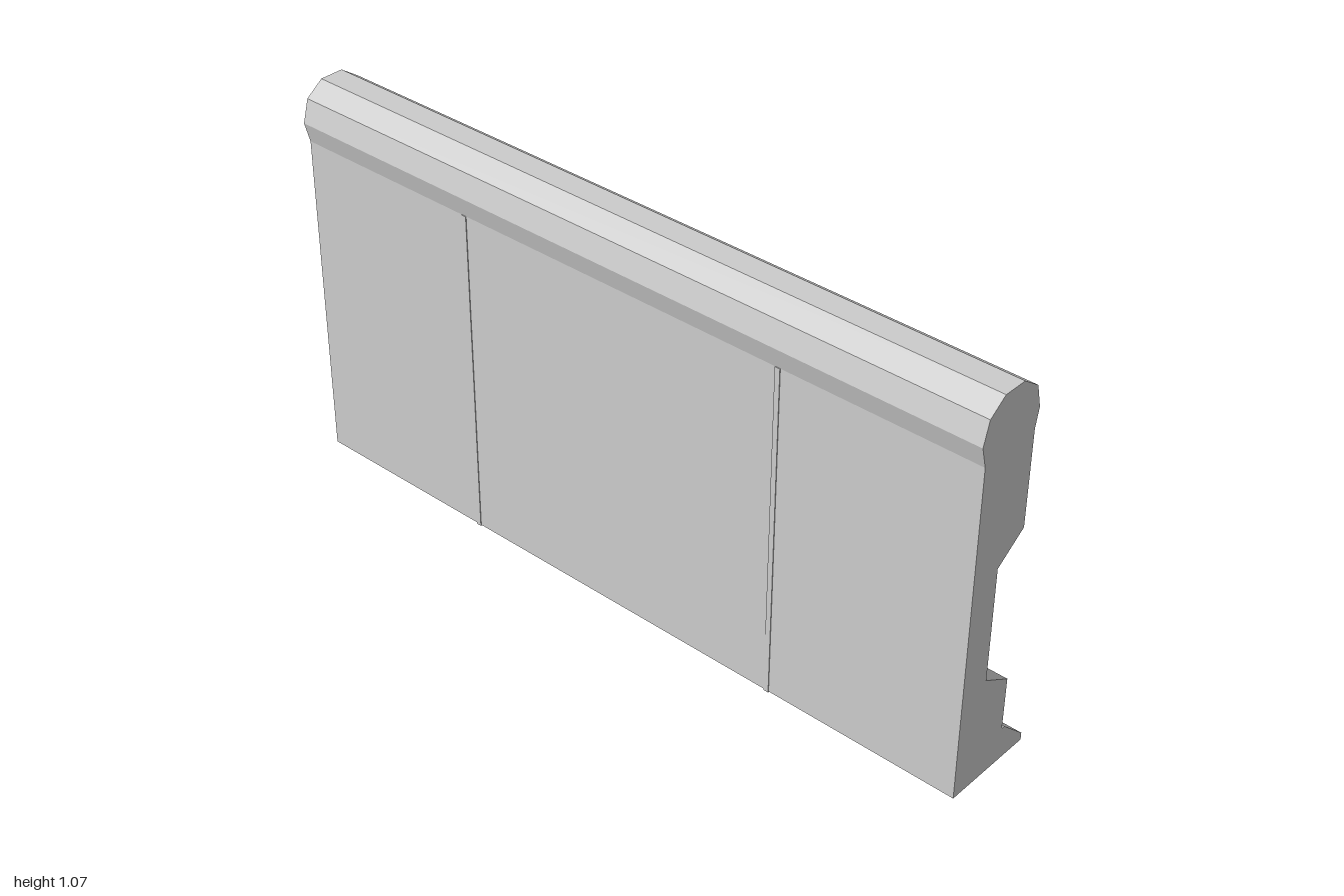
import * as THREE from 'three';

const grey = new THREE.MeshStandardMaterial({ color: 0xcccccc });
const greyFlat = new THREE.MeshStandardMaterial({ color: 0xcccccc, flatShading: true });

function toShape(points) {
  return new THREE.Shape(points.map(([x, y]) => new THREE.Vector2(x, y)));
}

function addMesh(parent, name, geometry, material = grey) {
  const mesh = new THREE.Mesh(geometry, material);
  mesh.name = name;
  parent.add(mesh);
  return mesh;
}

// Wall cross-section (x, y), extruded along z, softened at the recess bends
function wallGeometry() {
  const profile = [
    [-0.12, 0.02], [0.135, 0.02], [0.135, 0.04], [0.06, 0.11], [0.05, 0.11],
    [0.05, 0.255], [-0.035, 0.305], [-0.035, 0.61], [0.05, 0.67], [0.05, 0.92],
    [0.06, 0.97], [0.045, 1.03], [-0.005, 1.065], [-0.07, 1.065],
    [-0.118, 1.03], [-0.135, 0.97], [-0.12, 0.915],
  ];
  const geo = new THREE.ExtrudeGeometry(toShape(profile), { depth: 2, bevelEnabled: false });
  geo.translate(0, 0, -1);
  const soft = [[0.04, 0.39], [0.255, 0.47], [0.305, 0.47], [0.61, -0.47], [0.67, -0.47]];
  const pos = geo.attributes.position;
  const nor = geo.attributes.normal;
  for (let i = 0; i < pos.count; i++) {
    if (Math.abs(nor.getZ(i)) > 0.5) continue;
    const bend = soft.find(([y]) => Math.abs(y - pos.getY(i)) < 0.001);
    if (bend) nor.setXYZ(i, Math.sqrt(1 - bend[1] ** 2), bend[1], 0);
  }
  return geo;
}

// Octagonal pipe swept through mitred rings; path entries are front x, y, mitre slope
function pipeGeometry() {
  const path = [
    [0.085, 0, 0], [0.085, 0.27, 0.54], [0, 0.32, 0.54],
    [0, 0.637, -0.54], [0.055, 0.67, -0.54], [0.055, 0.95, 0],
  ];
  const r = 0.025;
  const sides = 8;
  const R = r / Math.cos(Math.PI / sides);
  const rings = path.map(([px, py, slope]) => Array.from({ length: sides }, (_, j) => {
    const a = ((j + 0.5) / sides) * Math.PI * 2;
    const off = R * Math.cos(a) - r;
    return [px + off, py + slope * off, R * Math.sin(a)];
  }));
  const verts = [];
  const tri = (...corners) => corners.forEach((c) => verts.push(...c));
  const last = rings[rings.length - 1];
  for (let j = 0; j < sides; j++) {
    const k = (j + 1) % sides;
    for (let i = 0; i < rings.length - 1; i++) {
      tri(rings[i][j], rings[i + 1][j], rings[i][k]);
      tri(rings[i][k], rings[i + 1][j], rings[i + 1][k]);
    }
    // end caps
    if (j > 0 && k > 0) {
      tri(rings[0][0], rings[0][j], rings[0][k]);
      tri(last[0], last[k], last[j]);
    }
  }
  const geo = new THREE.BufferGeometry();
  geo.setAttribute('position', new THREE.Float32BufferAttribute(verts, 3));
  geo.computeVertexNormals();
  return geo;
}

// Vertical rib with chamfered front edges; its ends sink into the recess slopes
function ribGeometry() {
  const shape = toShape([
    [-0.05, -0.04], [-0.012, -0.04], [0, -0.022],
    [0, 0.022], [-0.012, 0.04], [-0.05, 0.04],
  ]);
  const geo = new THREE.ExtrudeGeometry(shape, { depth: 0.38, bevelEnabled: false });
  geo.rotateX(-Math.PI / 2);
  geo.translate(0, 0.27, 0);
  return geo;
}

// Rectangular frame with cut corners and a rectangular opening
function frameGeometry() {
  const w = 0.186, h = 0.065, c = 0.028;
  const shape = toShape([
    [-w + c, -h], [w - c, -h], [w, -h + c], [w, h - c],
    [w - c, h], [-w + c, h], [-w, h - c], [-w, -h + c],
  ]);
  const iw = 0.153, ih = 0.046;
  shape.holes.push(toShape([[-iw, -ih], [-iw, ih], [iw, ih], [iw, -ih]]));
  const geo = new THREE.ExtrudeGeometry(shape, { depth: 0.022, bevelEnabled: false });
  geo.rotateY(Math.PI / 2);
  geo.translate(0.041, 0.84, 0);
  return geo;
}

export function createModel() {
  const model = new THREE.Group();
  model.name = 'wallSection';

  addMesh(model, 'wallBody', wallGeometry());

  // Block in the middle of the recess
  const block = addMesh(model, 'recessBlock', new THREE.BoxGeometry(0.107, 0.42, 0.318));
  block.position.set(-0.0165, 0.47, 0.03);

  // Pipes and the thin seams that continue them under and behind the wall
  const pipe = pipeGeometry();
  for (const z of [0.469, -0.469]) {
    addMesh(model, 'pipe', pipe, greyFlat).position.z = z;
    const back = addMesh(model, 'backSeam', new THREE.BoxGeometry(0.006, 0.897, 0.014));
    back.position.set(-0.119, 0.4665, z);
    const under = addMesh(model, 'bottomSeam', new THREE.BoxGeometry(0.18, 0.006, 0.014));
    under.position.set(-0.03, 0.021, z);
  }

  const rib = ribGeometry();
  for (const z of [0.905, 0.577, -0.564, -0.892]) {
    addMesh(model, 'recessRib', rib).position.z = z;
  }

  const frame = frameGeometry();
  for (const z of [0.741, -0.73]) {
    addMesh(model, 'panelFrame', frame).position.z = z;
  }

  return model;
}
